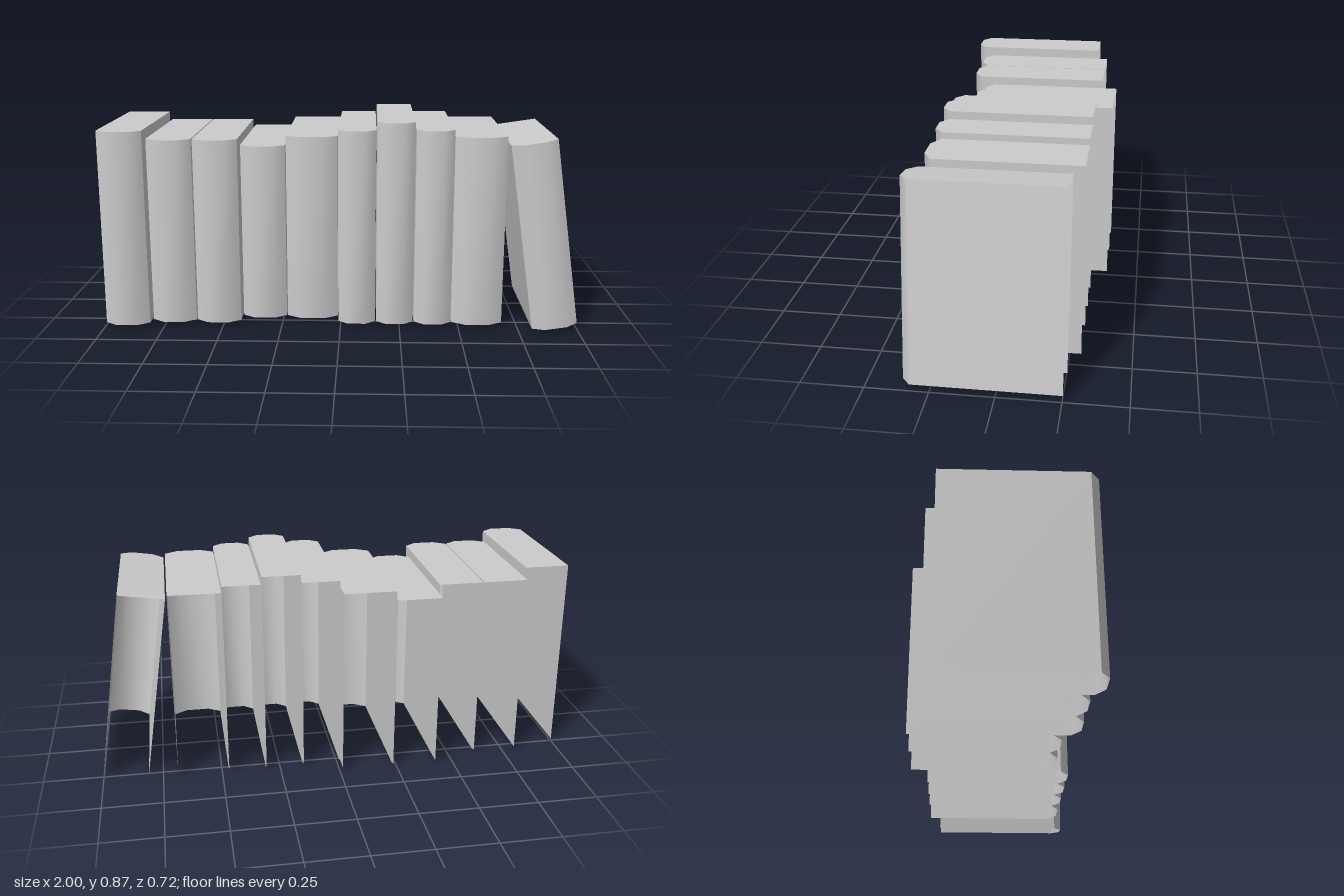
import * as THREE from 'three';
import { toCreasedNormals } from 'three/addons/utils/BufferGeometryUtils.js';

const DEPTH = 0.613;  // back opening to the crown of the spine
const ROUND = 0.035;  // how far the spine bulges

// Hollow cover: two sides, a bulging spine and a top; open at back and bottom.
// Origin at the lower left, with the spine crown at z = 0.
function bookGeometry(width, height) {
  const outline = [
    [0, -DEPTH], [0, -ROUND], [width * 0.26, 0],
    [width * 0.74, 0], [width, -ROUND], [width, -DEPTH],
  ];
  const pos = [];
  const put = ([x, z], y) => pos.push(x, y, z);
  for (let i = 0; i < outline.length - 1; i++) {
    const a = outline[i], b = outline[i + 1];
    put(a, 0); put(b, 0); put(b, height);
    put(a, 0); put(b, height); put(a, height);
    // Top, as a fan from the first corner
    if (i > 0) { put(outline[0], height); put(a, height); put(b, height); }
  }
  const geometry = new THREE.BufferGeometry();
  geometry.setAttribute('position', new THREE.Float32BufferAttribute(pos, 3));
  return toCreasedNormals(geometry, Math.PI / 4);
}

export function createModel() {
  const group = new THREE.Group();
  group.name = 'bookRow';
  const grey = new THREE.MeshStandardMaterial({ color: 0xcccccc, side: THREE.DoubleSide });
  grey.name = 'plain grey';

  function addBook(name, x, y, front, width, height, lean = 0) {
    const book = new THREE.Mesh(bookGeometry(width, height), grey);
    book.name = name;
    book.position.set(x, y, front);
    book.rotation.z = lean;
    group.add(book);
  }

  // Upright books: left edge, right edge, top, spine front
  const base = 0.013;
  [
    [-1.0, -0.813, 0.84, 0.36],
    [-0.807, -0.62, 0.8, 0.316],
    [-0.615, -0.428, 0.8, 0.316],
    [-0.424, -0.236, 0.765, 0.251],
    [-0.232, -0.014, 0.805, 0.251],
    [-0.01, 0.147, 0.84, 0.316],
    [0.152, 0.309, 0.874, 0.316],
    [0.313, 0.47, 0.842, 0.316],
    [0.472, 0.687, 0.816, 0.316],
  ].forEach(([x0, x1, top, front], i) =>
    addBook(`uprightBook${i + 1}`, x0, base, front, x1 - x0, top - base));

  // Last book leans against the row
  addBook('leaningBook', 0.811, 0.002, 0.36, 0.19, 0.793, 0.148);

  return group;
}
